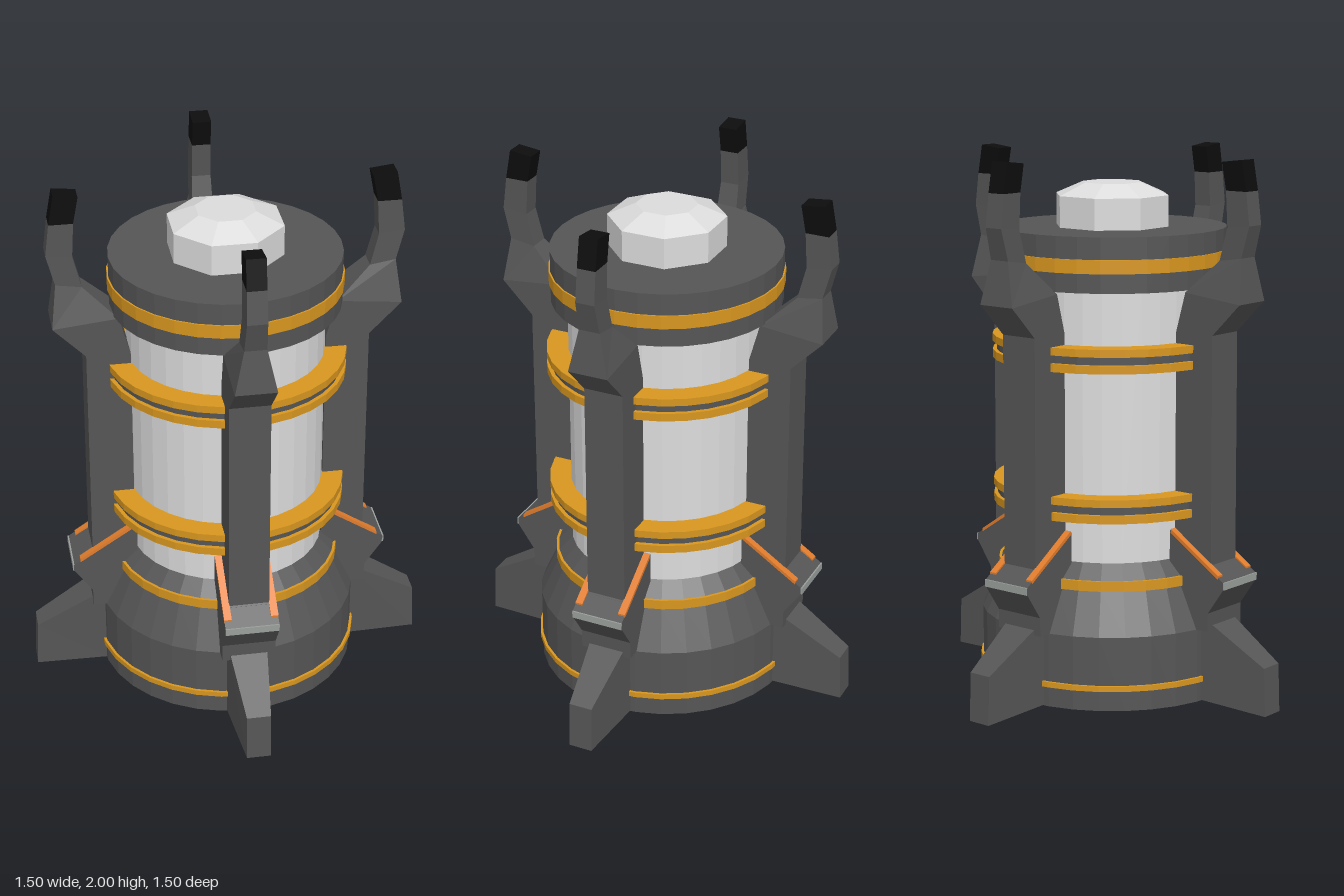
import * as THREE from 'three';

const mat = (name, color) => {
  const m = new THREE.MeshStandardMaterial({ color, flatShading: true });
  m.name = name;
  return m;
};

// Loft through rectangular sections [r1, y1, r2, y2, halfWidth], with z centred on zc
function loft(sections, zc = 0) {
  const rings = sections.map(([r1, y1, r2, y2, w]) => [
    [r1, y1, zc - w], [r1, y1, zc + w], [r2, y2, zc + w], [r2, y2, zc - w],
  ]);
  const pos = [];
  const quad = (a, b, c, d) => pos.push(...a, ...b, ...c, ...a, ...c, ...d);
  for (let k = 0; k < rings.length - 1; k++) {
    const p = rings[k], q = rings[k + 1];
    for (let i = 0; i < 4; i++) {
      const j = (i + 1) % 4;
      quad(p[i], p[j], q[j], q[i]);
    }
  }
  const s = rings[0], e = rings[rings.length - 1];
  quad(s[3], s[2], s[1], s[0]);
  quad(e[0], e[1], e[2], e[3]);
  const g = new THREE.BufferGeometry();
  g.setAttribute('position', new THREE.Float32BufferAttribute(pos, 3));
  g.computeVertexNormals();
  return g;
}

export function createModel() {
  const dark = mat('dark metal', 0x555555);
  const black = mat('black tip', 0x0d0d0d);
  const white = mat('pale core', 0xdcdcdc);
  const gold = mat('gold trim', 0xd8961f);
  const orange = mat('orange strip', 0xe07c2c);
  const grey = mat('light grey edge', 0x9a9f9c);

  const model = new THREE.Group();
  const add = (parent, name, geometry, material) => {
    const m = new THREE.Mesh(geometry, material);
    m.name = name;
    parent.add(m);
    return m;
  };
  // Upright drum between two heights
  const drum = (name, rBottom, rTop, y0, y1, material, sides = 32) => {
    const m = add(model, name, new THREE.CylinderGeometry(rTop, rBottom, y1 - y0, sides), material);
    m.position.y = (y0 + y1) / 2;
    return m;
  };

  // Base: straight skirt, taper, shoulder
  const profile = [[0, 0.015], [0.49, 0.015], [0.49, 0.29], [0.42, 0.445], [0.42, 0.48], [0.365, 0.535], [0, 0.535]];
  add(model, 'base', new THREE.LatheGeometry(profile.map(([x, y]) => new THREE.Vector2(x, y)), 32), dark);
  drum('baseTrim', 0.5, 0.5, 0.09, 0.11, gold);
  drum('shoulderTrim', 0.428, 0.428, 0.445, 0.482, gold);

  // Core and its paired hoops
  drum('core', 0.365, 0.365, 0.53, 1.535, white);
  for (const y of [0.7, 1.245]) {
    drum('hoopLower', 0.445, 0.445, y, y + 0.03, gold);
    drum('hoopMiddle', 0.43, 0.43, y + 0.03, y + 0.06, dark);
    drum('hoopUpper', 0.445, 0.445, y + 0.06, y + 0.088, gold);
  }

  // Cap
  drum('cap', 0.425, 0.425, 1.53, 1.73, dark);
  drum('capTrim', 0.431, 0.431, 1.6, 1.65, gold);

  // Eight-sided knob with a bevelled top
  drum('knob', 0.216, 0.216, 1.73, 1.845, white, 8).rotation.y = Math.PI / 8;
  drum('knobBevel', 0.216, 0.112, 1.845, 1.89, white, 8).rotation.y = Math.PI / 8;

  // Shared parts of the four supports
  const pillarGeo = loft([
    [0.36, 0.3, 0.525, 0.3, 0.075],
    [0.36, 1.375, 0.522, 1.375, 0.075],
    [0.40, 1.52, 0.64, 1.495, 0.075],
    [0.525, 1.64, 0.62, 1.655, 0.04],
    [0.555, 1.76, 0.65, 1.77, 0.036],
    [0.547, 1.89, 0.635, 1.89, 0.035],
  ]);
  const tipGeo = loft([
    [0.547, 1.89, 0.635, 1.89, 0.035],
    [0.528, 1.99, 0.615, 2.0, 0.035],
  ]);
  const footGeo = loft([
    [0.4, 0.38, 0.4, 0.015, 0.075],
    [0.48, 0.34, 0.48, 0.018, 0.075],
    [0.745, 0.18, 0.752, 0.0, 0.045],
  ]);
  const bracketGeo = loft([
    [0.355, 0.645, 0.355, 0.29, 0.1],
    [0.53, 0.53, 0.53, 0.29, 0.1],
    [0.531, 0.53, 0.531, 0.36, 0.1],
    [0.6, 0.485, 0.6, 0.46, 0.1],
  ]);
  const edgeGeo = loft([
    [0.598, 0.486, 0.598, 0.459, 0.1],
    [0.604, 0.486, 0.604, 0.459, 0.1],
  ]);
  const stripGeos = [-1, 1].map((s) => loft([
    [0.36, 0.65, 0.36, 0.635, 0.014],
    [0.575, 0.508, 0.575, 0.495, 0.014],
  ], s * 0.087));

  for (let i = 0; i < 4; i++) {
    const support = new THREE.Group();
    support.name = 'support' + (i + 1);
    support.rotation.y = i * Math.PI / 2;
    add(support, 'pillar', pillarGeo, dark);
    add(support, 'pillarTip', tipGeo, black);
    add(support, 'foot', footGeo, dark);
    add(support, 'bracket', bracketGeo, dark);
    add(support, 'bracketEdge', edgeGeo, grey);
    stripGeos.forEach((g) => add(support, 'bracketStrip', g, orange));
    model.add(support);
  }
  return model;
}
